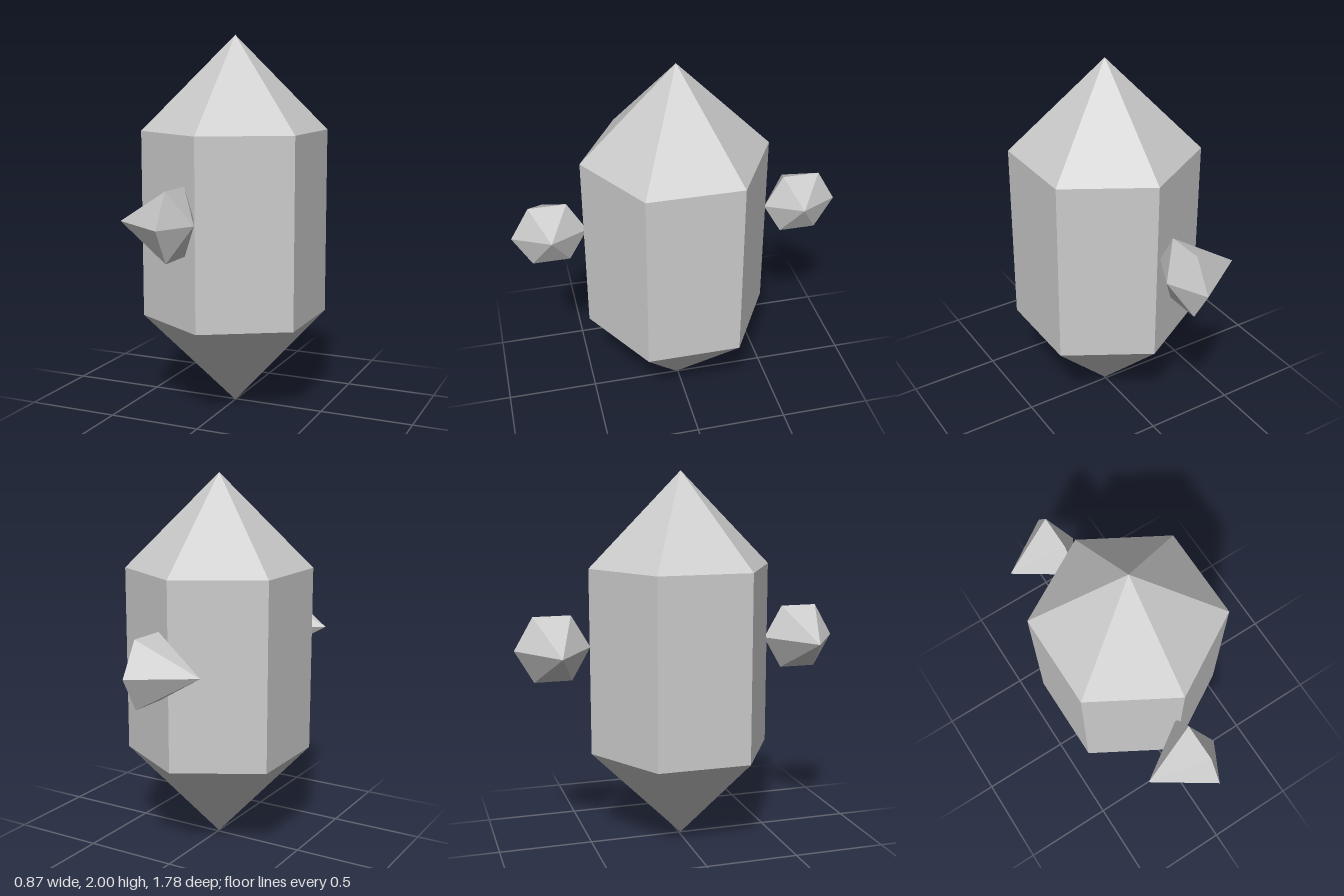
import * as THREE from 'three';

const material = new THREE.MeshStandardMaterial({ color: 0xcccccc, flatShading: true });

// Six-sided faceted crystal from a [radius, height] profile, bottom to top
function crystal(name, profile) {
  const points = profile.map(([r, y]) => new THREE.Vector2(r, y));
  const geometry = new THREE.LatheGeometry(points, 6).toNonIndexed();
  geometry.computeVertexNormals();
  const mesh = new THREE.Mesh(geometry, material);
  mesh.name = name;
  return mesh;
}

export function createModel() {
  const model = new THREE.Group();
  model.name = 'crystalCluster';

  // Large upright prism with pointed ends
  const main = crystal('mainCrystal', [[0, 0], [0.5, 0.5], [0.5, 1.5], [0, 2]]);
  main.position.z = 0.01;
  model.add(main);

  // Small sideways shards, long tip towards -x
  for (const [name, z] of [['frontShard', 0.69], ['backShard', -0.69]]) {
    const shard = crystal(name, [[0, -0.1], [0.2, 0], [0, 0.3]]);
    shard.rotation.z = Math.PI / 2;
    shard.position.set(-0.016, 1.09, z);
    model.add(shard);
  }
  return model;
}
